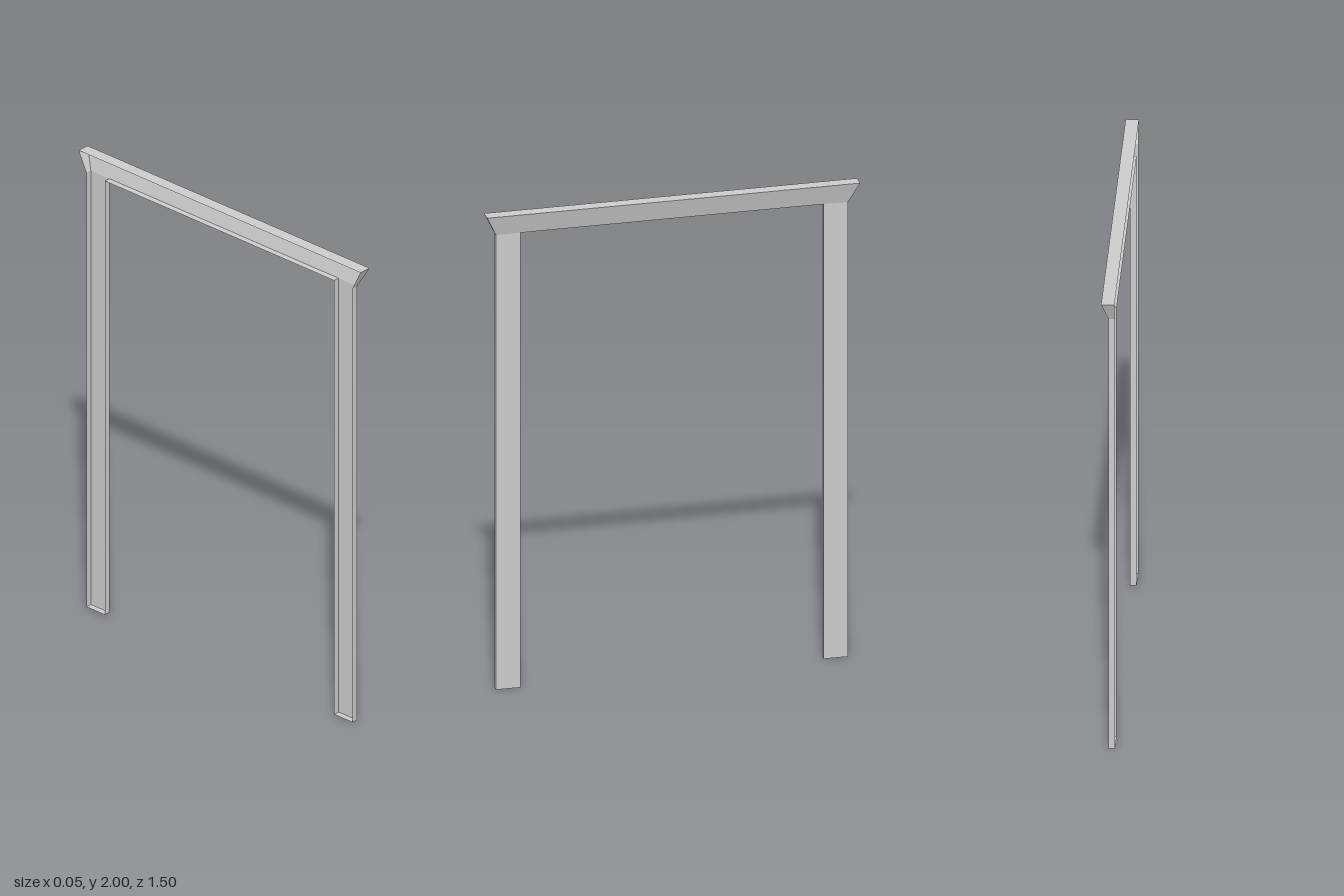
import * as THREE from 'three';

const BACK = -0.026, FACE = 0, LIP = 0.026;      // depths along x
const OUT = 0.708, IN = 0.61, END = 0.75;        // half widths along z
const HEAD = 1.915, TOP = 2;                     // heights

const material = new THREE.MeshStandardMaterial({
  color: 0xcccccc, flatShading: true, side: THREE.DoubleSide,
});

// The face leans forward above the legs
const front = ([z, y]) => [y > HEAD ? LIP : FACE, y, z];
const back = ([z, y]) => [BACK, y, z];

// Thin return running from the face to the open back along edge a-b
const wall = (a, b) => [front(a), back(a), back(b), front(b)];

function panels(name, quads) {
  const points = quads.flatMap(([a, b, c, d]) => [a, b, c, a, c, d]).flat();
  const geometry = new THREE.BufferGeometry();
  geometry.setAttribute('position', new THREE.Float32BufferAttribute(points, 3));
  geometry.computeVertexNormals();
  const mesh = new THREE.Mesh(geometry, material);
  mesh.name = name;
  return mesh;
}

export function createModel() {
  const group = new THREE.Group();
  group.name = 'doorCasing';

  // Legs: face, outer and inner returns, foot; open at the back
  for (const s of [1, -1]) {
    const foot = [[s * OUT, 0], [s * IN, 0]];
    const head = [[s * IN, HEAD], [s * OUT, HEAD]];
    const loop = [...foot, ...head];
    if (s < 0) loop.reverse();
    const quads = [loop.map(front)];
    loop.forEach((a, i) => {
      const b = loop[(i + 1) % 4];
      if (a[1] < HEAD || b[1] < HEAD) quads.push(wall(a, b));
    });
    group.add(panels(s > 0 ? 'frontLeg' : 'backLeg', quads));
  }

  // Head: leaning face, underside between the legs, flared ends and top
  const rim = [[-OUT, HEAD], [-END, TOP], [END, TOP], [OUT, HEAD]];
  group.add(panels('flaredHead', [
    rim.map(front),
    wall([IN, HEAD], [-IN, HEAD]),
    ...rim.slice(1).map((b, i) => wall(rim[i], b)),
  ]));

  return group;
}
